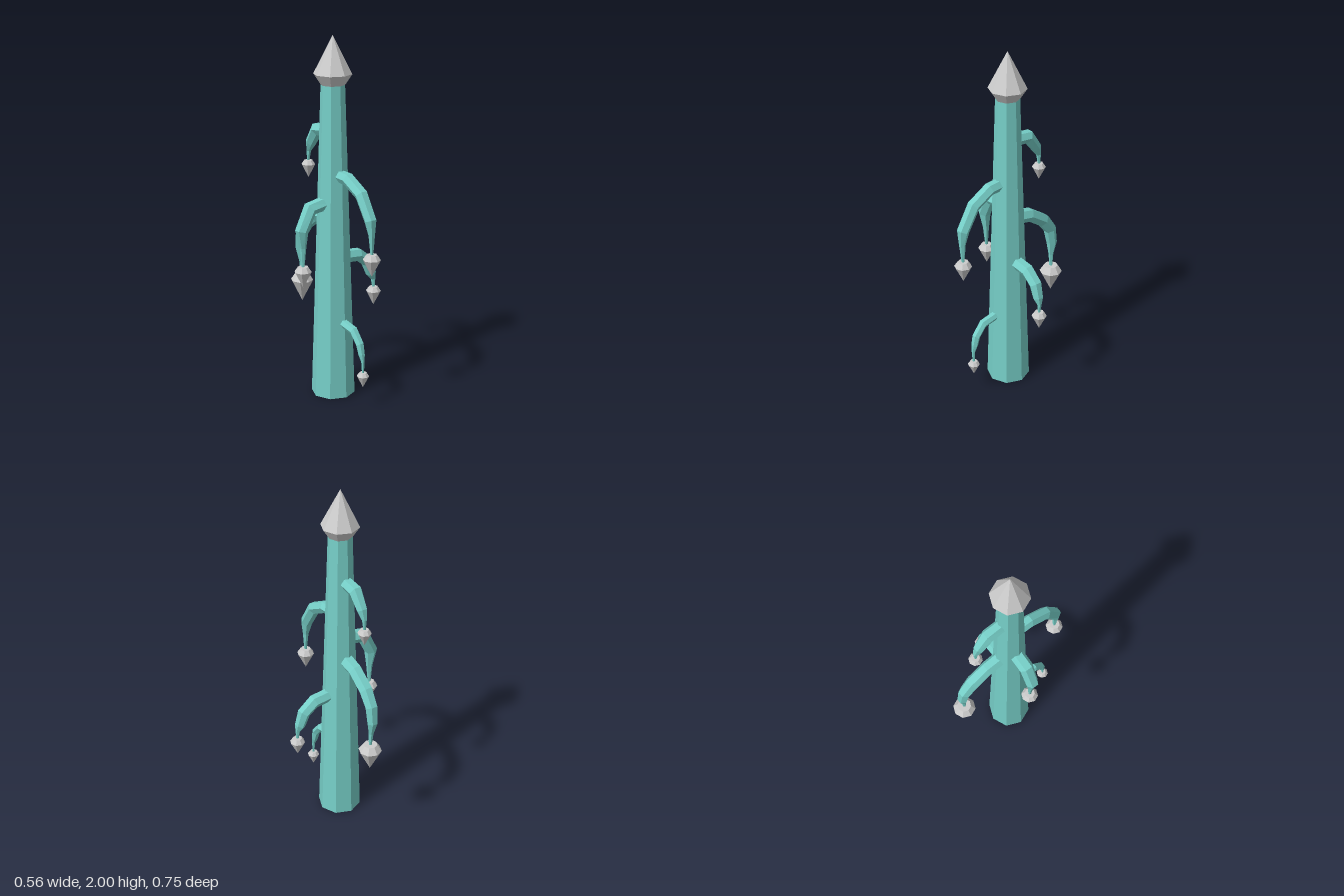
import * as THREE from 'three';

const teal = new THREE.MeshStandardMaterial({ color: 0x76cfc8, flatShading: true });
const grey = new THREE.MeshStandardMaterial({ color: 0xcccccc, flatShading: true });
const AXIS_X = -0.04;
const V = (x, y, z) => new THREE.Vector3(x, y, z);

function add(parent, name, geometry, material) {
  const mesh = new THREE.Mesh(geometry, material);
  mesh.name = name;
  parent.add(mesh);
  return mesh;
}

// Eight-sided spike: short flared collar below a tall point, origin at its small end
function spike(radius) {
  const k = radius / 0.103;
  const profile = [[0, 0], [0.063, 0], [0.103, 0.06], [0, 0.263]];
  return new THREE.LatheGeometry(profile.map(([r, y]) => new THREE.Vector2(r * k, y * k)), 8);
}

// Hexagonal tube swept along [distance outward, height, radius] points in a vertical plane
function hexBranch(angle, points, drift) {
  const out = V(Math.sin(angle), 0, Math.cos(angle));
  const up = V(0, 1, 0);
  const side = V(0, 1, 0).cross(out);
  const pos = [], index = [], last = points.length - 1;
  points.forEach(([d, y, r], i) => {
    const a = points[Math.max(i - 1, 0)], b = points[Math.min(i + 1, last)];
    const len = Math.hypot(b[0] - a[0], b[1] - a[1]);
    const td = (b[0] - a[0]) / len, ty = (b[1] - a[1]) / len;
    const normal = out.clone().multiplyScalar(-ty).addScaledVector(up, td);
    const centre = out.clone().multiplyScalar(d).addScaledVector(up, y).addScaledVector(side, drift * i / last);
    for (let k = 0; k < 6; k++) {
      const t = k * Math.PI / 3;
      const p = centre.clone().addScaledVector(side, r * Math.cos(t)).addScaledVector(normal, r * Math.sin(t));
      pos.push(p.x, p.y, p.z);
      if (i < last) {
        const n = (k + 1) % 6, q = i * 6;
        index.push(q + k, q + n, q + 6 + n, q + k, q + 6 + n, q + 6 + k);
      }
    }
  });
  const g = new THREE.BufferGeometry();
  g.setAttribute('position', new THREE.Float32BufferAttribute(pos, 3));
  g.setIndex(index);
  g.computeVertexNormals();
  return g;
}

const FRONT = 0, LEFT = Math.PI / 2, BACK = Math.PI, RIGHT = -Math.PI / 2;

// Distances are measured from the trunk axis; drift is a small sideways lean
const branches = [
  { name: 'upperBackBranch', angle: BACK, drift: 0, tip: 0.038, points: [
    [0.03, 1.49, 0.036], [0.14, 1.478, 0.038], [0.198, 1.395, 0.03], [0.219, 1.345, 0.014], [0.222, 1.287, 0.007]] },
  { name: 'upperFrontBranch', angle: FRONT, drift: 0.01, tip: 0.048, points: [
    [0.03, 1.26, 0.035], [0.13, 1.255, 0.036], [0.24, 1.195, 0.036], [0.315, 1.07, 0.034],
    [0.323, 0.99, 0.018], [0.323, 0.885, 0.008]] },
  { name: 'rightBranch', angle: RIGHT, drift: -0.008, tip: 0.047, points: [
    [0.03, 1.11, 0.04], [0.15, 1.09, 0.04], [0.205, 0.975, 0.036], [0.196, 0.88, 0.018], [0.195, 0.77, 0.008]] },
  { name: 'lowerBackBranch', angle: BACK, drift: -0.014, tip: 0.064, points: [
    [0.03, 1.02, 0.042], [0.15, 0.995, 0.04], [0.25, 0.925, 0.04], [0.303, 0.85, 0.036],
    [0.318, 0.755, 0.03], [0.312, 0.68, 0.014], [0.31, 0.605, 0.009]] },
  { name: 'leftBranch', angle: LEFT, drift: -0.012, tip: 0.042, points: [
    [0.03, 0.785, 0.038], [0.17, 0.772, 0.038], [0.235, 0.72, 0.036], [0.26, 0.645, 0.029],
    [0.274, 0.61, 0.013], [0.275, 0.56, 0.007]] },
  { name: 'lowerFrontBranch', angle: FRONT, drift: 0.006, tip: 0.034, points: [
    [0.03, 0.445, 0.025], [0.185, 0.417, 0.025], [0.236, 0.355, 0.023], [0.25, 0.3, 0.019],
    [0.26, 0.26, 0.01], [0.26, 0.195, 0.006]] },
];

export function createModel() {
  const model = new THREE.Group();
  model.name = 'spikedTree';

  // Tapering octagonal trunk
  const trunk = add(model, 'trunk', new THREE.CylinderGeometry(0.065, 0.121, 1.74, 8), teal);
  trunk.position.set(AXIS_X, 0.87, 0);

  // Pointed cap on the trunk
  add(model, 'topSpike', spike(0.103), grey).position.set(AXIS_X, 1.737, 0);

  // Drooping branches, each with a hanging spike
  for (const { name, angle, drift, tip, points } of branches) {
    const group = new THREE.Group();
    group.name = name;
    group.position.x = AXIS_X;
    add(group, name + 'Arm', hexBranch(angle, points, drift), teal);
    const [d, y] = points[points.length - 1];
    const hanging = add(group, name + 'Spike', spike(tip), grey);
    hanging.rotation.x = Math.PI;
    hanging.position.set(
      Math.sin(angle) * d + Math.cos(angle) * drift, y + 0.003,
      Math.cos(angle) * d - Math.sin(angle) * drift);
    model.add(group);
  }
  return model;
}
